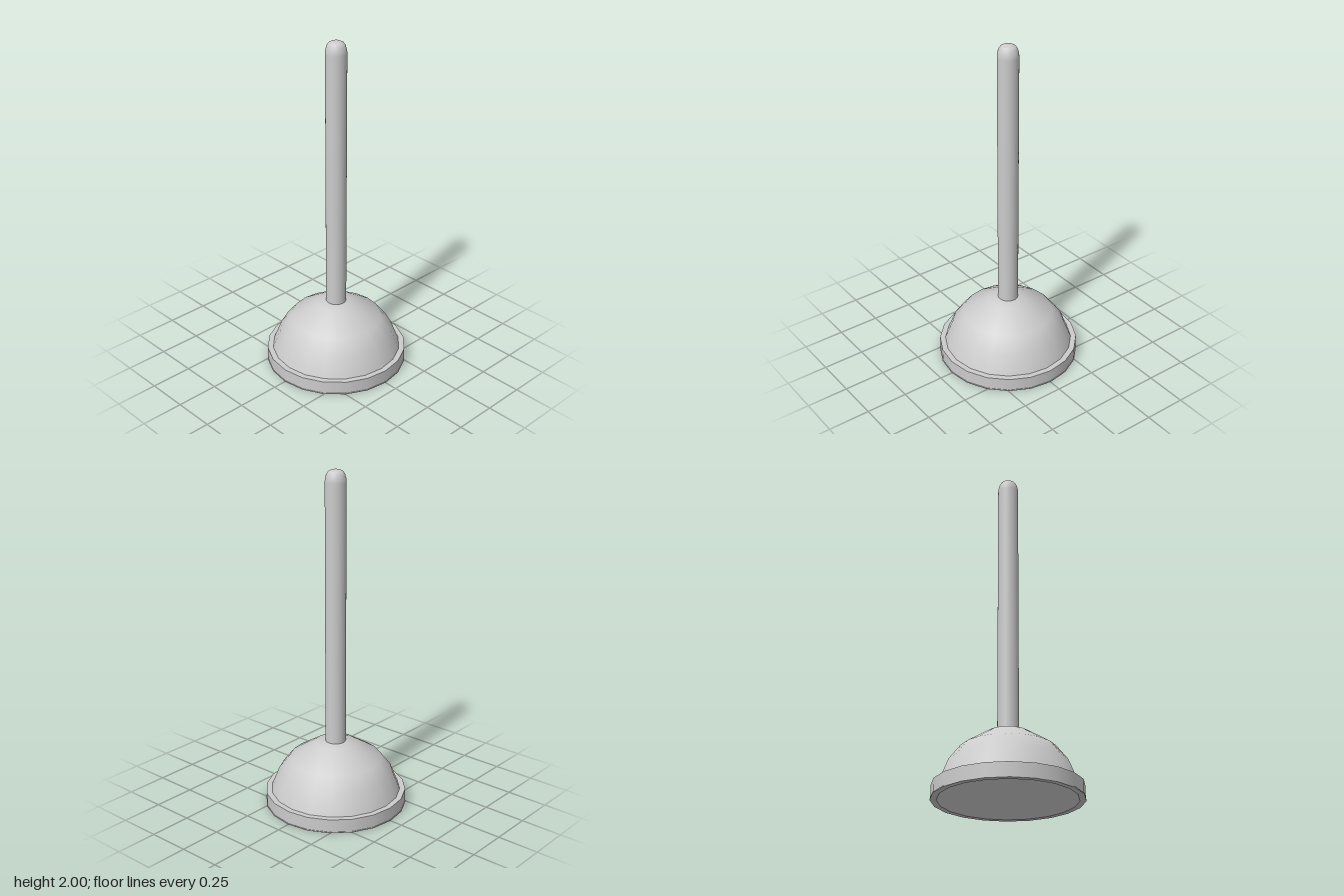
import * as THREE from 'three';

const material = new THREE.MeshStandardMaterial({ color: 0xcccccc, side: THREE.DoubleSide });

// Turn a profile of [radius, height] points around the y axis
function turned(name, profile, sides) {
  const points = profile.map(([r, y]) => new THREE.Vector2(r, y));
  const mesh = new THREE.Mesh(new THREE.LatheGeometry(points, sides), material);
  mesh.name = name;
  return mesh;
}

export function createModel() {
  const group = new THREE.Group();
  group.name = 'plunger';
  const cupSides = 20;
  const handleSides = 32;

  // Rubber cup: outer dome and conical hollow inside
  const cup = new THREE.Group();
  cup.name = 'cup';
  cup.add(
    turned('dome', [[0.384, 0.083], [0.337, 0.2], [0.27, 0.285], [0.12, 0.38], [0.055, 0.39]], cupSides),
    turned('cupInside', [[0, 0.35], [0.385, 0]], cupSides)
  );

  // Rim band with a thin lip at its foot: separate faces keep the edges sharp
  const rim = new THREE.Group();
  rim.name = 'rim';
  rim.add(
    turned('rimBottom', [[0.385, 0], [0.42, 0]], cupSides),
    turned('lipSide', [[0.42, 0], [0.42, 0.006]], cupSides),
    turned('lipTop', [[0.42, 0.006], [0.417, 0.006]], cupSides),
    turned('rimSide', [[0.417, 0.006], [0.417, 0.083]], cupSides),
    turned('rimTop', [[0.417, 0.083], [0.384, 0.083]], cupSides)
  );
  cup.add(rim);

  // Handle: straight shaft running smoothly into a rounded end
  const handle = turned('handle', [
    [0.06, 0.37], [0.06, 1.93], [0.059, 1.95], [0.052, 1.975], [0.042, 1.99], [0.024, 1.999], [0, 2]
  ], handleSides);

  group.add(cup, handle);
  return group;
}
